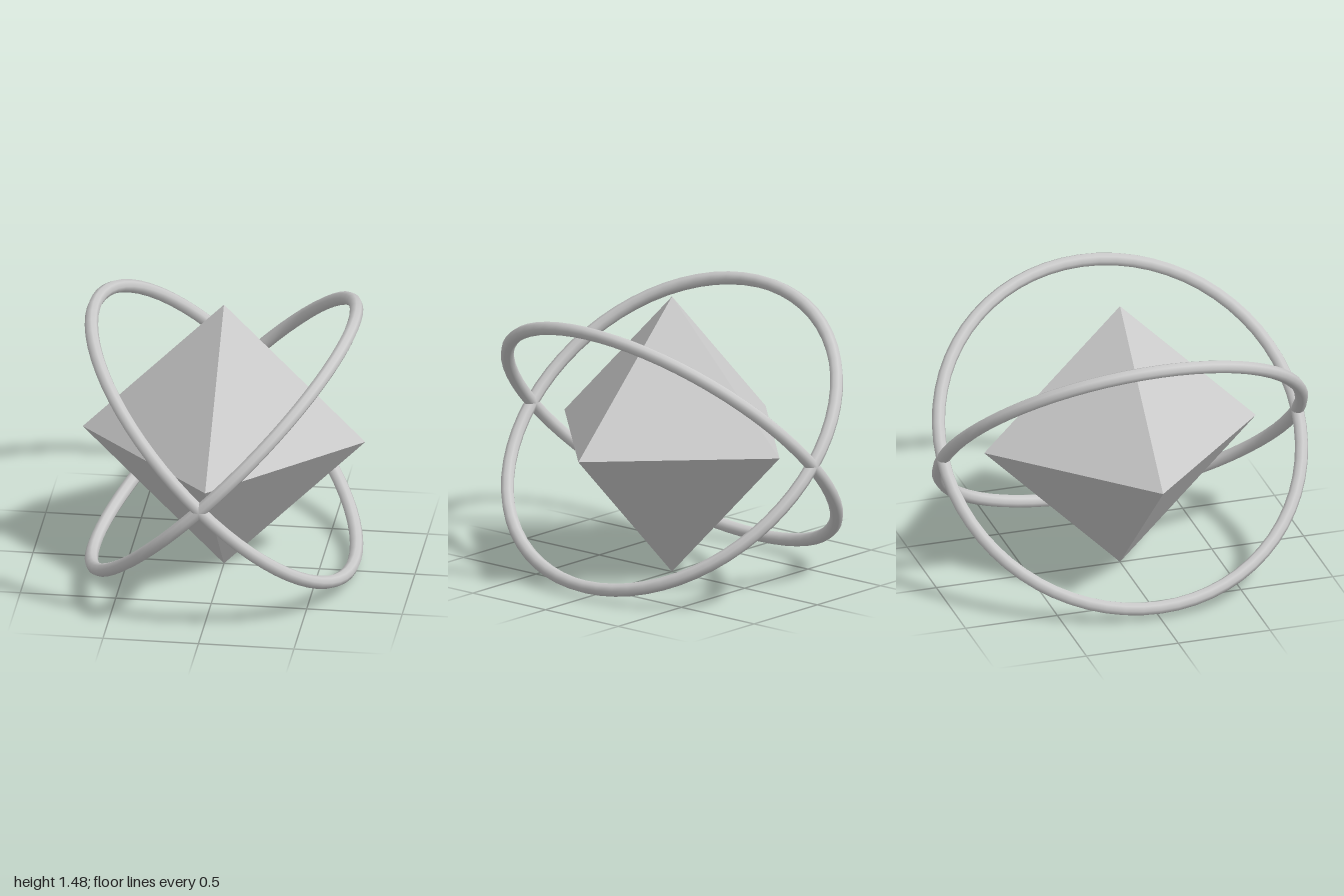
import * as THREE from 'three';

const CORE_RADIUS = 0.74;
const TUBE_RADIUS = 0.035;

export function createModel() {
  const model = new THREE.Group();
  model.name = 'ringedOctahedron';

  // Faceted core standing on its lower point
  const core = new THREE.Mesh(
    new THREE.OctahedronGeometry(CORE_RADIUS),
    new THREE.MeshStandardMaterial({ color: 0xcccccc, flatShading: true })
  );
  core.name = 'core';
  core.position.y = CORE_RADIUS;
  model.add(core);

  // Two crossed rings, tilted 45 degrees either way and meeting at front and back
  const ringMaterial = new THREE.MeshStandardMaterial({ color: 0xcccccc });
  for (const [name, side] of [['leftRisingRing', 1], ['rightRisingRing', -1]]) {
    const geometry = new THREE.TorusGeometry(1 - TUBE_RADIUS, TUBE_RADIUS, 8, 64);
    geometry.rotateX(Math.PI / 2).rotateZ(side * Math.PI / 4);
    const ring = new THREE.Mesh(geometry, ringMaterial);
    ring.name = name;
    ring.position.y = CORE_RADIUS;
    model.add(ring);
  }

  return model;
}
